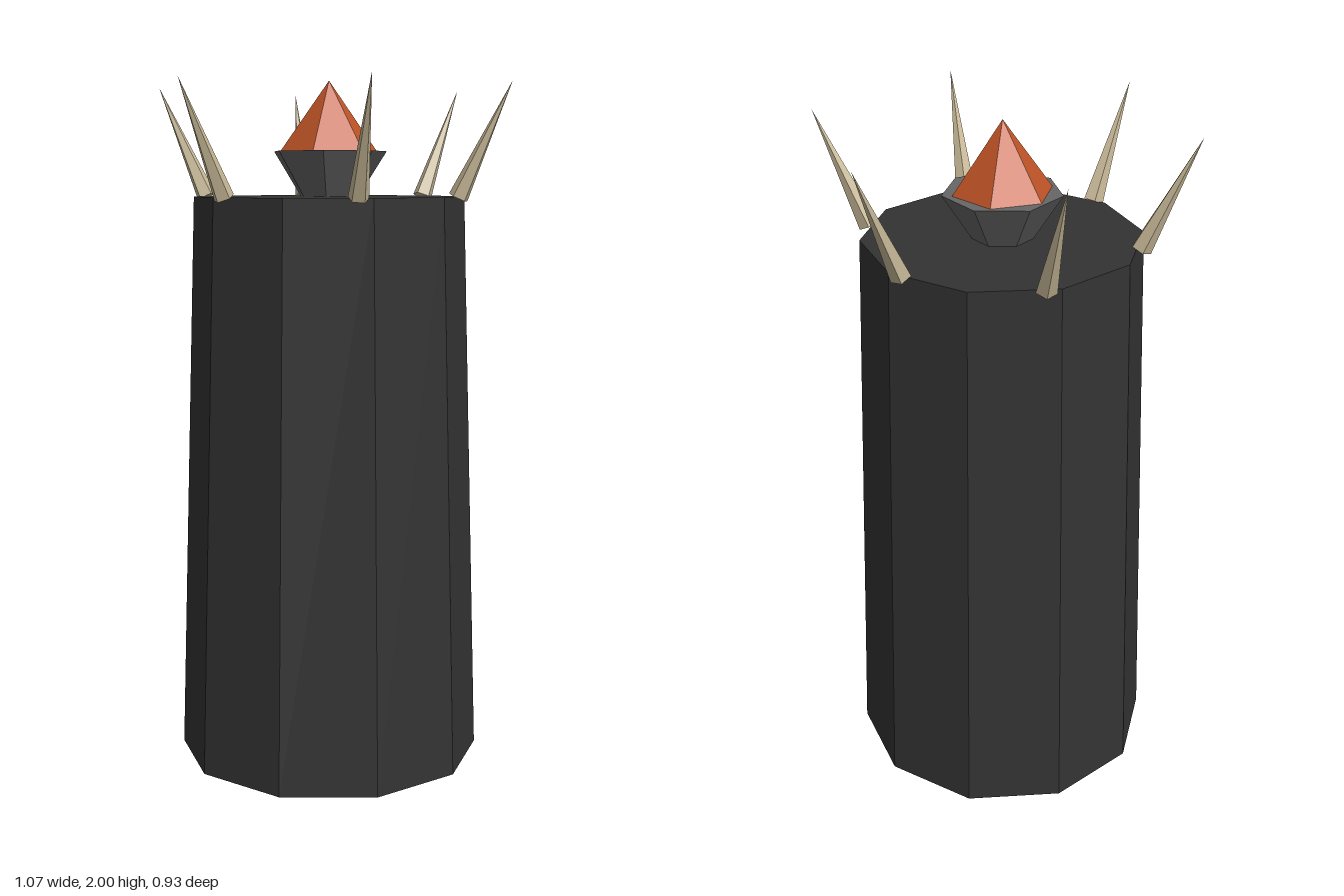
import * as THREE from 'three';

const mat = (name, color) => {
  const m = new THREE.MeshStandardMaterial({ color, flatShading: true });
  m.name = name;
  return m;
};

export function createModel() {
  const group = new THREE.Group();
  const stone = mat('dark stone', 0x333333);
  const iron = mat('grey iron', 0x666666);
  const ember = mat('ember orange', 0xbf5427);
  const bone = mat('bone', 0xc8b998);

  const add = (name, geometry, material, y = 0) => {
    const mesh = new THREE.Mesh(geometry, material);
    mesh.name = name;
    mesh.position.y = y;
    group.add(mesh);
    return mesh;
  };

  // Tapered ten-sided tower
  add('tower', new THREE.CylinderGeometry(0.395, 0.45, 1.67, 10), stone, 0.835);

  // Seven-sided brazier, one corner towards -x
  const bowl = new THREE.CylinderGeometry(0.17, 0.087, 0.13, 7).rotateY(-Math.PI / 2);
  add('brazier', bowl, iron, 1.735);

  // Six-sided flame
  add('flame', new THREE.ConeGeometry(0.143, 0.2, 6), ember, 1.9);

  // Ring of six spikes leaning outwards
  const up = new THREE.Vector3(0, 1, 0);
  const base = new THREE.Vector3(), tip = new THREE.Vector3();
  const length = Math.hypot(0.15, 0.323);
  const spike = new THREE.ConeGeometry(0.03, length, 5)
    .rotateY(-Math.PI / 2)
    .translate(0, length / 2, 0);
  for (let i = 0; i < 6; i++) {
    const a = (i * Math.PI) / 3;
    base.set(0.387 * Math.cos(a), 1.668, 0.387 * Math.sin(a));
    tip.set(0.537 * Math.cos(a), 1.991, 0.537 * Math.sin(a));
    const mesh = add('spike', spike, bone);
    mesh.position.copy(base);
    mesh.quaternion.setFromUnitVectors(up, tip.sub(base).normalize());
  }
  return group;
}
